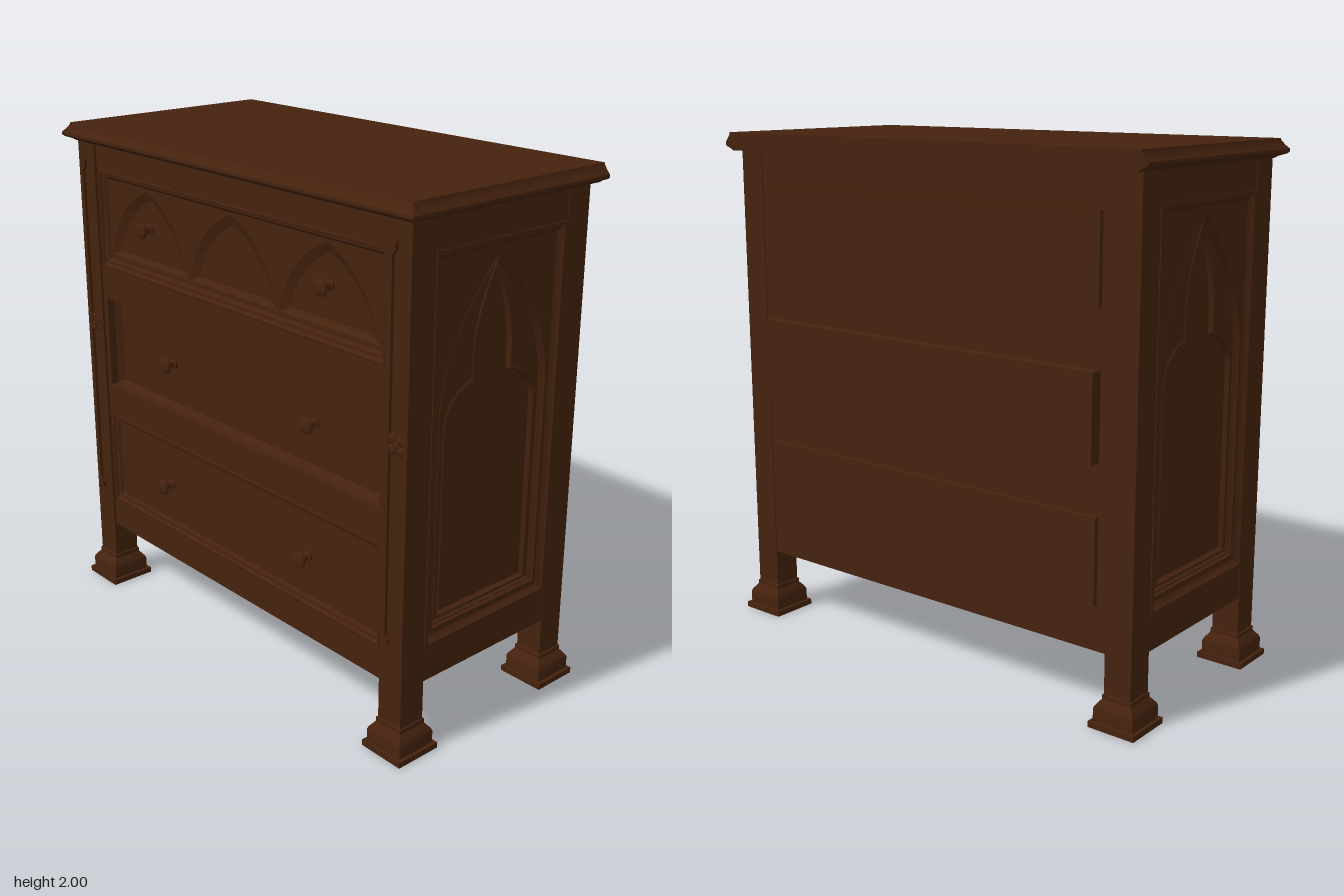
import * as THREE from 'three';
import { toCreasedNormals } from 'three/addons/utils/BufferGeometryUtils.js';

const wood = new THREE.MeshStandardMaterial({ color: 0x45220e });
wood.name = 'dark wood';

function add(parent, name, geometry, x = 0, y = 0, z = 0) {
  const mesh = new THREE.Mesh(geometry, wood);
  mesh.name = name;
  mesh.position.set(x, y, z);
  parent.add(mesh);
  return mesh;
}
function box(parent, name, x0, x1, y0, y1, z0, z1) {
  return add(parent, name, new THREE.BoxGeometry(x1 - x0, y1 - y0, z1 - z0),
    (x0 + x1) / 2, (y0 + y1) / 2, (z0 + z1) / 2);
}

// Outlines, all counter-clockwise in the XY plane
const v = (x, y) => new THREE.Vector2(x, y);
const rect = (w, y0, y1) => [v(-w, y0), v(w, y0), v(w, y1), v(-w, y1)];
const mirrored = right => [...right, ...right.slice(0, -1).reverse().map(p => v(-p.x, p.y))];
const curve = (a, b, c, n = 14) => new THREE.QuadraticBezierCurve(a, b, c).getPoints(n);
const shift = (pts, dx) => pts.map(p => v(p.x + dx, p.y));

function lancet(d) {
  const w = 0.27 - d;
  return mirrored([v(w, 0.455 + d), ...curve(v(w, 1.24), v(w, 1.5), v(0, 1.765 - d * 1.7))]);
}
function trefoil(d) {
  const w = 0.232 - d, n = 0.1 - d;
  return mirrored([v(w, 0.48 + d), ...curve(v(w, 1.18), v(w, 1.3 - d), v(n, 1.34 - d)),
    ...curve(v(n, 1.42), v(n * 0.92, 1.58), v(0, 1.73 - d * 2))]);
}
function drawerArch(d) {
  const w = 0.255 - d, top = 1.785 - d * 0.8;
  return mirrored(curve(v(w, 1.488 + d * 0.5), v(w * 0.8, top - 0.08), v(0, top)));
}

// Skin between equal-length outlines given as [points, height]
function loft(...rings) {
  const pos = [], idx = [], n = rings[0][0].length;
  for (const [pts, z] of rings) for (const p of pts) pos.push(p.x, p.y, z);
  for (let r = 0; r < rings.length - 1; r++) {
    for (let i = 0; i < n; i++) {
      const a = r * n + i, b = r * n + (i + 1) % n;
      idx.push(a, b, b + n, a, b + n, a + n);
    }
  }
  const g = new THREE.BufferGeometry();
  g.setAttribute('position', new THREE.Float32BufferAttribute(pos, 3));
  g.setIndex(idx);
  return toCreasedNormals(g, 0.5);
}
function shapeOf(outline, holes = []) {
  const s = new THREE.Shape(outline);
  s.holes = holes.map(h => new THREE.Path(h));
  return s;
}
const face = (outline, holes) => new THREE.ShapeGeometry(shapeOf(outline, holes));
const board = (outline, holes, depth) =>
  new THREE.ExtrudeGeometry(shapeOf(outline, holes), { depth, bevelEnabled: false });

function knob(parent, x, y, z) {
  const profile = [[0.02, 0], [0.02, 0.008], [0.012, 0.012], [0.012, 0.03], [0.026, 0.036],
    [0.032, 0.044], [0.03, 0.052], [0.018, 0.058], [0, 0.06]].map(p => v(...p));
  const g = toCreasedNormals(new THREE.LatheGeometry(profile, 24), 0.6);
  add(parent, 'knob', g, x, y, z).rotation.x = Math.PI / 2;
}

function createTop(parent) {
  // Moulded on the front and sides, straight at the back
  const edge = d => [v(-0.985 + d, -0.475 + d), v(0.985 - d, -0.475 + d),
    v(0.985 - d, 0.475), v(-0.985 + d, 0.475)];
  const top = new THREE.Group();
  top.name = 'top';
  top.rotation.x = -Math.PI / 2;
  add(top, 'topMoulding', loft([edge(0.04), 1.93], [edge(0.03), 1.937], [edge(0.008), 1.945],
    [edge(0), 1.952], [edge(0), 1.962], [edge(0.012), 1.975], [edge(0.024), 1.992], [edge(0.026), 2]));
  add(top, 'topSurface', face(edge(0.026)), 0, 0, 2);
  parent.add(top);
  box(parent, 'topUnderside', -0.945, 0.945, 1.93, 1.945, -0.474, 0.435);
}

function createLeg(parent, sx, sz) {
  const leg = new THREE.Group();
  leg.name = sz > 0 ? 'frontLeg' : 'backLeg';
  leg.position.set(sx * 0.885, 0, sz * 0.375);
  box(leg, 'post', -0.055, 0.055, 0.1, 1.93, -0.055, sz > 0 ? 0.043 : 0.055);

  // Stepped foot
  box(leg, 'footPlate', -0.095, 0.095, 0, 0.022, -0.095, 0.095);
  const sq = s => rect(s, -s, s);
  add(leg, 'foot', loft([sq(0.082), 0.02], [sq(0.082), 0.07], [sq(0.078), 0.08], [sq(0.063), 0.1],
    [sq(0.06), 0.104], [sq(0.06), 0.12], [sq(0.05), 0.124])).rotation.x = -Math.PI / 2;

  if (sz > 0) {
    // Long groove with lobed ends, and a small rosette
    const end = (y, s) => [v(0.032, y + s * 0.09), v(0.032, y + s * 0.05), v(0.024, y + s * 0.035),
      v(0.018, y + s * 0.03), v(0.018, y + s * 0.012), v(0.01, y)];
    const half = [...end(0.415, 1).reverse(), ...end(1.86, -1)];
    const groove = [...half, ...half.map(p => v(-p.x, p.y)).reverse()];
    add(leg, 'groovedFace', board(rect(0.055, 0.12, 1.93), [groove], 0.012), 0, 0, 0.043);
    for (let i = 0; i < 5; i++) {
      const a = Math.PI / 4 + i * Math.PI / 2, r = i < 4 ? 0.026 : 0;
      const petal = add(leg, 'rosettePetal', new THREE.SphereGeometry(i < 4 ? 0.019 : 0.015, 12, 8),
        r * Math.cos(a), 1.18 + r * Math.sin(a), 0.05);
      petal.scale.z = i < 4 ? 0.4 : 0.6;
    }
  }
  parent.add(leg);
}

function createSide(parent, s) {
  const side = new THREE.Group();
  side.name = s > 0 ? 'leftSide' : 'rightSide';
  side.rotation.y = s * Math.PI / 2;
  const outer = rect(0.319, 0.4, 1.82), inner = rect(0.285, 0.435, 1.785);
  add(side, 'sideRails', board(rect(0.32, 0.27, 1.93), [outer], 0.058), 0, 0, 0.88);
  add(side, 'sideMoulding', loft([outer, 0.935], [outer, 0.943], [rect(0.305, 0.415, 1.805), 0.943],
    [rect(0.298, 0.422, 1.798), 0.932], [inner, 0.924]));
  add(side, 'archSurround', face(inner, [lancet(0)]), 0, 0, 0.924);
  add(side, 'archMoulding', loft([lancet(0), 0.924], [lancet(0.006), 0.914],
    [lancet(0.012), 0.918], [lancet(0.02), 0.908]));
  add(side, 'tracery', face(lancet(0.02), [trefoil(0)]), 0, 0, 0.908);
  add(side, 'traceryMoulding', loft([trefoil(0), 0.908], [trefoil(0.006), 0.912], [trefoil(0.014), 0.896]));
  add(side, 'sidePanel', face(trefoil(0.014)), 0, 0, 0.896);
  parent.add(side);
}

function createFront(parent) {
  const openings = [rect(0.825, 1.428, 1.832), rect(0.805, 0.925, 1.3), rect(0.825, 0.39, 0.8)];
  add(parent, 'frontRails', board(rect(0.83, 0.27, 1.93), openings, 0.06), 0, 0, 0.36);

  // Top drawer with three carved arches
  const topPanel = rect(0.785, 1.47, 1.795), arches = [-0.52, 0, 0.52];
  add(parent, 'topDrawerMoulding', loft([openings[0], 0.418], [rect(0.812, 1.44, 1.82), 0.422],
    [rect(0.805, 1.45, 1.815), 0.412], [rect(0.795, 1.46, 1.805), 0.41], [topPanel, 0.4]));
  add(parent, 'topDrawerFront', face(topPanel, arches.map(x => shift(drawerArch(0.001), x))), 0, 0, 0.4);
  for (const x of arches) {
    add(parent, 'archCarving', loft([drawerArch(0.001), 0.4], [drawerArch(0.012), 0.396],
      [drawerArch(0.045), 0.385]), x);
    add(parent, 'archPanel', face(drawerArch(0.045)), x, 0, 0.385);
    if (x) knob(parent, x, 1.635, 0.385);
  }

  // Middle drawer, set further back
  const midPanel = rect(0.783, 0.94, 1.27);
  add(parent, 'middleDrawerMoulding', loft([openings[1], 0.388], [rect(0.795, 0.932, 1.285), 0.38],
    [midPanel, 0.366]));
  add(parent, 'middleDrawerFront', face(midPanel), 0, 0, 0.366);

  // Bottom drawer
  const lowPanel = rect(0.785, 0.43, 0.762);
  add(parent, 'bottomDrawerMoulding', loft([openings[2], 0.418], [rect(0.812, 0.402, 0.788), 0.422],
    [rect(0.805, 0.41, 0.782), 0.412], [rect(0.795, 0.42, 0.772), 0.41], [lowPanel, 0.4]));
  add(parent, 'bottomDrawerFront', face(lowPanel), 0, 0, 0.4);

  for (const x of [-0.423, 0.423]) {
    knob(parent, x, 1.105, 0.366);
    knob(parent, x, 0.592, 0.4);
  }
}

export function createModel() {
  const chest = new THREE.Group();
  chest.name = 'chestOfDrawers';
  createTop(chest);
  box(chest, 'carcass', -0.89, 0.89, 0.27, 1.93, -0.427, 0.361);
  createFront(chest);
  for (const s of [-1, 1]) {
    createSide(chest, s);
    createLeg(chest, s, 1);
    createLeg(chest, s, -1);
  }
  // Drawer backs showing through the rear
  box(chest, 'topDrawerBack', -0.79, 0.79, 1.48, 1.8, -0.445, -0.4);
  box(chest, 'middleDrawerBack', -0.79, 0.79, 0.95, 1.27, -0.475, -0.4);
  box(chest, 'bottomDrawerBack', -0.79, 0.79, 0.44, 0.76, -0.445, -0.4);
  return chest;
}
